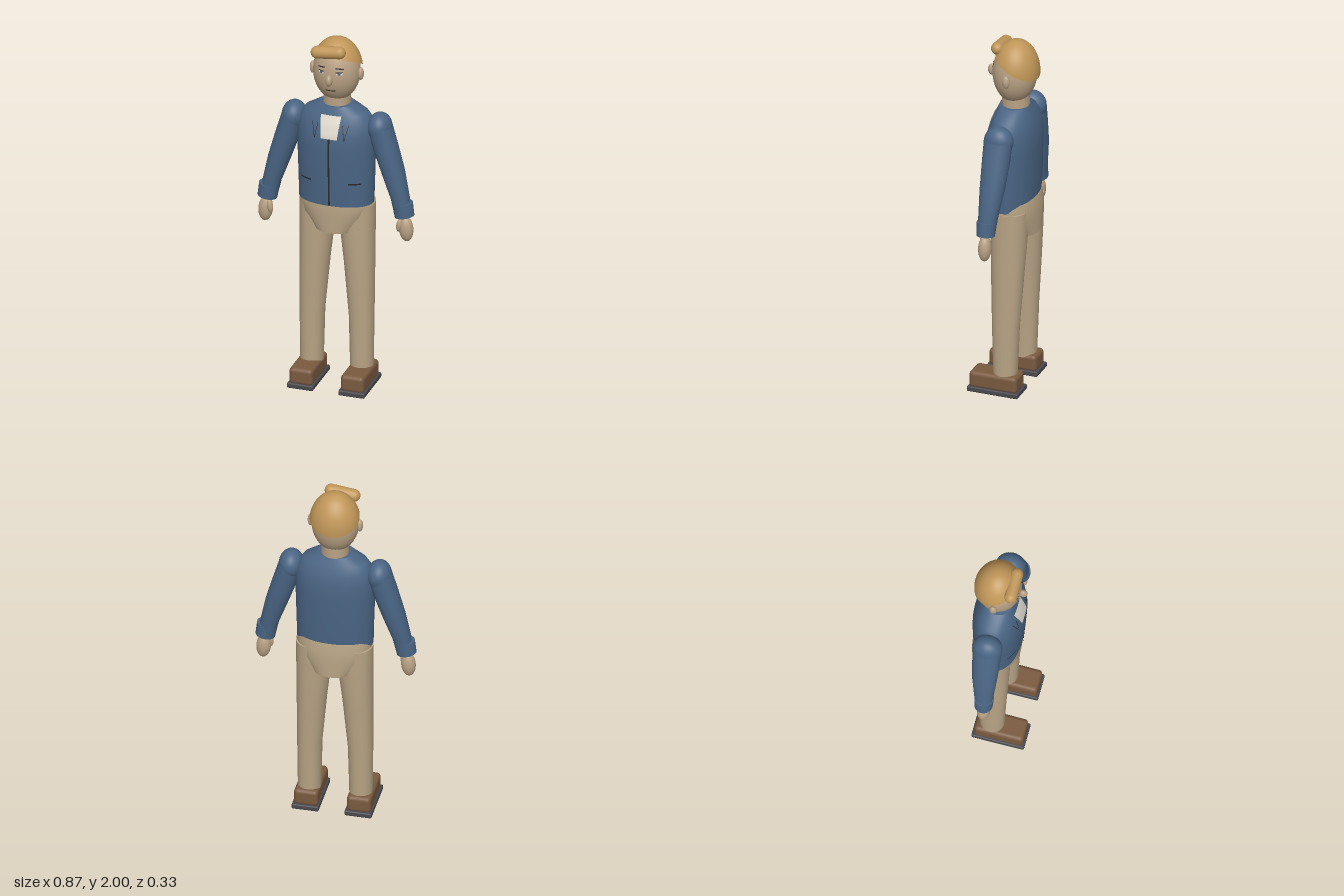
import * as THREE from 'three';
import { RoundedBoxGeometry } from 'three/addons/geometries/RoundedBoxGeometry.js';

const mat = (name, color, side = THREE.FrontSide) => {
  const m = new THREE.MeshStandardMaterial({ color, side });
  m.name = name;
  return m;
};

// Horizontal cross-sections, bottom to top: [y, centreX, halfWidth, zFront, zBack]
const TORSO = [
  [1.07, 0, 0.204, 0.100, -0.145], [1.2, 0, 0.207, 0.106, -0.154], [1.4, 0, 0.213, 0.113, -0.158],
  [1.48, 0, 0.212, 0.106, -0.156], [1.54, 0, 0.202, 0.088, -0.142], [1.585, 0, 0.172, 0.070, -0.124],
  [1.63, 0, 0.092, 0.054, -0.104],
];
const PELVIS = [
  [0.905, 0, 0.118, 0.090, -0.163], [1.0, 0, 0.192, 0.095, -0.163],
  [1.06, 0, 0.202, 0.097, -0.160], [1.11, 0, 0.196, 0.090, -0.151],
];
const LEG = [
  [0.1, 0.139, 0.061, 0.038, -0.090], [0.4, 0.137, 0.066, 0.046, -0.102],
  [0.7, 0.124, 0.080, 0.055, -0.122], [0.9, 0.113, 0.092, 0.060, -0.134], [1.06, 0.108, 0.099, 0.06, -0.138],
];
const ARM = [
  [1.03, 0.370, 0.042, 0.034, -0.056], [1.12, 0.357, 0.050, 0.038, -0.066], [1.27, 0.314, 0.062, 0.046, -0.088],
  [1.4, 0.273, 0.067, 0.050, -0.098], [1.52, 0.240, 0.064, 0.052, -0.104],
];
const POWER = 2.2;

// Closed loft through rounded cross-sections
function loft(rings, mirror = 1, n = 48) {
  const pos = [], idx = [];
  const addRing = ([y, cx, w, zf, zb]) => {
    for (let i = 0; i < n; i++) {
      const a = (i / n) * Math.PI * 2, c = Math.cos(a), s = Math.sin(a);
      const curve = (v) => Math.sign(v) * Math.abs(v) ** (2 / POWER);
      pos.push(cx * mirror + w * curve(c), y, (zf + zb) / 2 + ((zf - zb) / 2) * curve(s));
    }
  };
  rings.forEach(addRing);
  for (let r = 0; r < rings.length - 1; r++) {
    for (let i = 0; i < n; i++) {
      const a = r * n + i, b = r * n + ((i + 1) % n);
      idx.push(a, a + n, b, b, a + n, b + n);
    }
  }
  for (const top of [false, true]) {
    const ring = rings[top ? rings.length - 1 : 0], base = pos.length / 3;
    addRing(ring);
    pos.push(ring[1] * mirror, ring[0], (ring[3] + ring[4]) / 2);
    for (let i = 0; i < n; i++) {
      const a = base + i, b = base + ((i + 1) % n);
      idx.push(base + n, top ? b : a, top ? a : b);
    }
  }
  const g = new THREE.BufferGeometry();
  g.setAttribute('position', new THREE.Float32BufferAttribute(pos, 3));
  g.setIndex(idx);
  g.computeVertexNormals();
  return g;
}

// Depth of the jacket front at x, y
function chestZ(x, y) {
  let i = 0;
  while (i < TORSO.length - 2 && y > TORSO[i + 1][0]) i++;
  const A = TORSO[i], B = TORSO[i + 1], t = (y - A[0]) / (B[0] - A[0]);
  const [w, zf, zb] = [2, 3, 4].map((k) => A[k] + (B[k] - A[k]) * t);
  return (zf + zb) / 2 + ((zf - zb) / 2) * Math.max(0, 1 - Math.abs(x / w) ** POWER) ** (1 / POWER);
}

const HEAD = { y: 1.815, z: -0.025, rx: 0.127, ry: 0.17, rz: 0.118 };
const faceZ = (x, y) =>
  HEAD.z + HEAD.rz * Math.sqrt(1 - (x / HEAD.rx) ** 2 - ((y - HEAD.y) / HEAD.ry) ** 2);

// Thin quad laid over a surface; corners: top left, top right, bottom left, bottom right
function patch([tl, tr, bl, br], depth, lift) {
  const g = new THREE.PlaneGeometry(1, 1, 8, 12), p = g.attributes.position;
  for (let i = 0; i < p.count; i++) {
    const u = p.getX(i) + 0.5, v = 0.5 - p.getY(i);
    const mix = (k) => (tl[k] * (1 - u) + tr[k] * u) * (1 - v) + (bl[k] * (1 - u) + br[k] * u) * v;
    const x = mix(0), y = mix(1);
    p.setXYZ(i, x, y, depth(x, y) + lift);
  }
  g.computeVertexNormals();
  return g;
}
const rect = (x, y, w, h, tilt = 0) => [
  [x - w / 2, y + h / 2 - tilt], [x + w / 2, y + h / 2 + tilt],
  [x - w / 2, y - h / 2 - tilt], [x + w / 2, y - h / 2 + tilt],
];

export function createModel() {
  const group = new THREE.Group();
  const skin = mat('skin', 0xb8a184), hair = mat('hair', 0xc09658), blue = mat('jacket blue', 0x4a6584);
  const tan = mat('trouser tan', 0xb8a485), brown = mat('shoe brown', 0x7a5a3f), grey = mat('sole grey', 0x48484e);
  const cream = mat('shirt cream', 0xe2dccf, THREE.DoubleSide), dark = mat('dark lines', 0x2a2728, THREE.DoubleSide);
  const iris = mat('iris blue', 0x4f6675, THREE.DoubleSide);

  const add = (name, geo, material, x = 0, y = 0, z = 0) => {
    const m = new THREE.Mesh(geo, material);
    m.name = name;
    m.position.set(x, y, z);
    group.add(m);
    return m;
  };
  const ball = (name, material, [x, y, z], [rx, ry, rz], tilt = 0) => {
    const m = add(name, new THREE.SphereGeometry(1, 32, 20), material, x, y, z);
    m.scale.set(rx, ry, rz);
    m.rotation.z = tilt;
    return m;
  };

  // Body
  add('jacket', loft(TORSO, 1, 64), blue);
  add('hips', loft(PELVIS, 1, 64), tan);
  add('neck', new THREE.CylinderGeometry(0.073, 0.075, 0.11, 32), skin, 0, 1.64, -0.03);

  // Head and swept hair
  ball('head', skin, [0, HEAD.y, HEAD.z], [HEAD.rx, HEAD.ry, HEAD.rz]);
  ball('nose', skin, [0, 1.805, 0.103], [0.018, 0.032, 0.025]);
  const cap = new THREE.SphereGeometry(1, 48, 24, 0, Math.PI * 2, 0, 1.333);
  cap.rotateX(-0.35);
  cap.scale(0.137, 0.18, 0.127);
  hair.side = THREE.DoubleSide;
  add('hairCap', cap, hair, 0, 1.82, -0.031);
  const quiff = add('quiff', new THREE.CapsuleGeometry(0.034, 0.125, 10, 24), hair, -0.02, 1.947, 0.058);
  quiff.rotation.z = -Math.PI / 2 + 0.12;

  // Shirt front and jacket opening
  add('shirt', patch([[-0.057, 1.588], [0.057, 1.588], [-0.045, 1.465], [0.045, 1.465]], chestZ, 0.005), cream);
  add('zip', patch(rect(0, 1.27, 0.009, 0.39), chestZ, 0.004), dark);
  add('mouth', patch(rect(0, 1.738, 0.055, 0.006), faceZ, 0.003), dark);

  for (const s of [1, -1]) {
    const side = s > 0 ? 'left' : 'right';

    // Face
    ball(side + 'Ear', skin, [s * 0.133, 1.81, -0.025], [0.016, 0.036, 0.021]);
    add(side + 'Brow', patch(rect(s * 0.05, 1.87, 0.042, 0.006, -s * 0.003), faceZ, 0.003), dark);
    add(side + 'EyeLine', patch(rect(s * 0.05, 1.85, 0.036, 0.004), faceZ, 0.004), dark);
    add(side + 'EyeWhite', patch(rect(s * 0.05, 1.842, 0.03, 0.013), faceZ, 0.002), cream);
    add(side + 'Iris', patch(rect(s * 0.05, 1.843, 0.014, 0.013), faceZ, 0.004), iris);

    // Lapel edges and pocket slit
    const edge = (name, a, b) => add(side + name,
      patch([[a[0] * s - 0.0015, a[1]], [a[0] * s + 0.0015, a[1]],
        [b[0] * s - 0.0015, b[1]], [b[0] * s + 0.0015, b[1]]], chestZ, 0.003), dark);
    edge('LapelOuter', [0.1, 1.545], [0.082, 1.46]);
    edge('LapelInner', [0.068, 1.545], [0.082, 1.46]);
    add(side + 'Pocket', patch(rect(s * 0.135, 1.208, 0.062, 0.008), chestZ, 0.003), dark);

    // Arm, cuff and hand
    ball(side + 'Shoulder', blue, [s * 0.238, 1.515, -0.027], [0.066, 0.08, 0.08]);
    add(side + 'Sleeve', loft(ARM, s), blue);
    const cuff = add(side + 'Cuff', new THREE.CylinderGeometry(0.056, 0.053, 0.075, 32), blue, s * 0.376, 1.06, -0.01);
    cuff.rotation.z = s * 0.16;
    cuff.scale.z = 0.92;
    ball(side + 'Hand', skin, [s * 0.391, 0.95, -0.008], [0.039, 0.072, 0.035], s * 0.08);
    ball(side + 'Thumb', skin, [s * 0.36, 0.975, 0.012], [0.016, 0.038, 0.018], -s * 0.15);

    // Leg and shoe
    add(side + 'Leg', loft(LEG, s), tan);
    add(side + 'Sole', new RoundedBoxGeometry(0.146, 0.03, 0.287, 3, 0.008), grey, s * 0.143, 0.015, 0.021);
    add(side + 'Shoe', new RoundedBoxGeometry(0.13, 0.095, 0.268, 4, 0.022), brown, s * 0.143, 0.068, 0.023);
  }
  return group;
}
